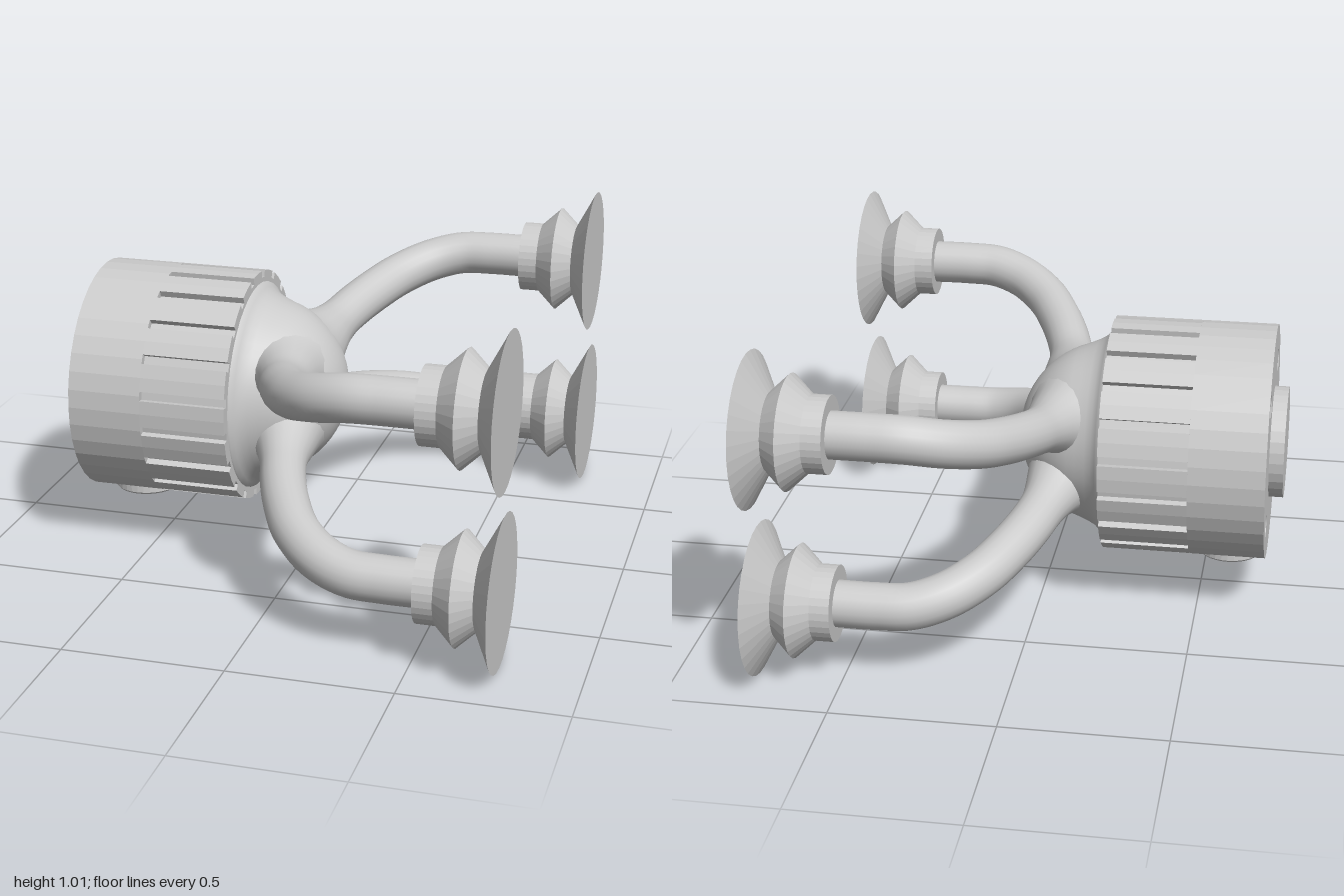
import * as THREE from 'three';

const CY = 0.508; // height of the body axis

export function createModel() {
  const group = new THREE.Group();
  const smooth = new THREE.MeshStandardMaterial({ color: 0xcccccc });
  const flat = new THREE.MeshStandardMaterial({ color: 0xcccccc, flatShading: true });

  function add(name, geometry, material, x = 0, y = CY, z = 0) {
    const mesh = new THREE.Mesh(geometry, material);
    mesh.name = name;
    mesh.position.set(x, y, z);
    group.add(mesh);
    return mesh;
  }

  // Lathe around the x axis from [x, radius] pairs, ordered along +x
  function latheX(pairs, segments) {
    const pts = pairs.map(([x, r]) => new THREE.Vector2(r, x));
    return new THREE.LatheGeometry(pts, segments).rotateZ(-Math.PI / 2);
  }

  // Extrude a shape along +x
  function extrudeX(shape, depth) {
    return new THREE.ExtrudeGeometry(shape, { depth, bevelEnabled: false, curveSegments: 16 })
      .rotateY(Math.PI / 2);
  }

  const polar = (r, a) => new THREE.Vector2(r * Math.cos(a), r * Math.sin(a));
  const R = 0.37;

  // Plain rear part of the drum, with four screw holes
  const rearPts = [];
  for (let i = 0; i < 40; i++) rearPts.push(polar(R, i * Math.PI / 20));
  const rear = new THREE.Shape(rearPts);
  for (const sx of [-1, 1]) for (const sy of [-1, 1]) {
    rear.holes.push(new THREE.Path().absarc(sx * 0.2, sy * 0.2, 0.037, 0, Math.PI * 2, true));
  }
  add('drumRear', extrudeX(rear, 0.235), flat, -0.71);

  // Grooved grip part of the drum
  const gripPts = [];
  const grooves = 20, half = 0.04, inner = R - 0.022;
  for (let i = 0; i < grooves; i++) {
    const a = (i + 0.5) * Math.PI * 2 / grooves;
    gripPts.push(polar(R, i * Math.PI * 2 / grooves), polar(R, a - half),
      polar(inner, a - half), polar(inner, a + half), polar(R, a + half));
  }
  add('drumGrip', extrudeX(new THREE.Shape(gripPts), 0.275), flat, -0.475);

  // Raised round cap on the rear face
  add('rearCap', latheX([[-0.755, 0], [-0.755, 0.175], [-0.7, 0.175]], 32), flat);

  // Dome with a concave fillet running into the drum face
  const dome = [[-0.205, 0.335], [-0.195, 0.332], [-0.185, 0.318], [-0.17, 0.303], [-0.15, 0.292]];
  for (let i = 1; i <= 14; i++) {
    const a = THREE.MathUtils.lerp(0.19, Math.PI / 2, i / 14);
    dome.push([-0.2 + 0.29 * Math.sin(a), 0.29 * Math.cos(a)]);
  }
  add('dome', latheX(dome, 40), smooth);

  // Button under the drum, with a ring-shaped recess
  const button = [[0, 0.005], [0.045, 0.005], [0.055, 0.025], [0.07, 0.025], [0.075, 0],
    [0.1, 0], [0.105, 0.006], [0.105, 0.06]].map(([r, y]) => new THREE.Vector2(r, y));
  add('button', new THREE.LatheGeometry(button, 32), flat, -0.59, 0.122, 0);

  // Curved arm that thickens toward its root
  function armGeometry(sy, sz) {
    const path = new THREE.CatmullRomCurve3([
      [-0.09, 0.085, 0.1], [-0.055, 0.108, 0.2], [-0.03, 0.128, 0.3], [0.005, 0.155, 0.42],
      [0.05, 0.182, 0.53], [0.11, 0.212, 0.635], [0.2, 0.245, 0.72], [0.3, 0.268, 0.76],
      [0.4, 0.272, 0.766], [0.53, 0.272, 0.766],
    ].map(([x, y, z]) => new THREE.Vector3(x, y * sy, z * sz)));
    const rings = 48, sides = 20;
    const geo = new THREE.TubeGeometry(path, rings, 1, sides);
    const pos = geo.attributes.position, p = new THREE.Vector3();
    for (let i = 0; i <= rings; i++) {
      const c = path.getPointAt(i / rings);
      const flare = Math.max(0, 1 - (i / rings) / 0.26);
      const r = 0.071 + 0.09 * flare * flare;
      for (let j = 0; j <= sides; j++) {
        const k = i * (sides + 1) + j;
        p.fromBufferAttribute(pos, k).sub(c).multiplyScalar(r).add(c);
        pos.setXYZ(k, p.x, p.y, p.z);
      }
    }
    geo.computeVertexNormals();
    // Match the normals along the tube seam
    const n = geo.attributes.normal, a = new THREE.Vector3(), b = new THREE.Vector3();
    for (let i = 0; i <= rings; i++) {
      const k = i * (sides + 1);
      a.fromBufferAttribute(n, k).add(b.fromBufferAttribute(n, k + sides)).normalize();
      n.setXYZ(k, a.x, a.y, a.z);
      n.setXYZ(k + sides, a.x, a.y, a.z);
    }
    return geo;
  }

  // Four arms, each ending in a suction cup
  const cup = latheX([[0.515, 0], [0.515, 0.115], [0.575, 0.115], [0.635, 0.172],
    [0.692, 0.118], [0.752, 0.234], [0.752, 0]], 32);
  for (const sy of [1, -1]) for (const sz of [1, -1]) {
    const label = (sy > 0 ? 'upper' : 'lower') + (sz > 0 ? 'Front' : 'Back');
    add(label + 'Arm', armGeometry(sy, sz), smooth);
    add(label + 'SuctionCup', cup, flat, 0, CY + sy * 0.272, sz * 0.766);
  }

  return group;
}
